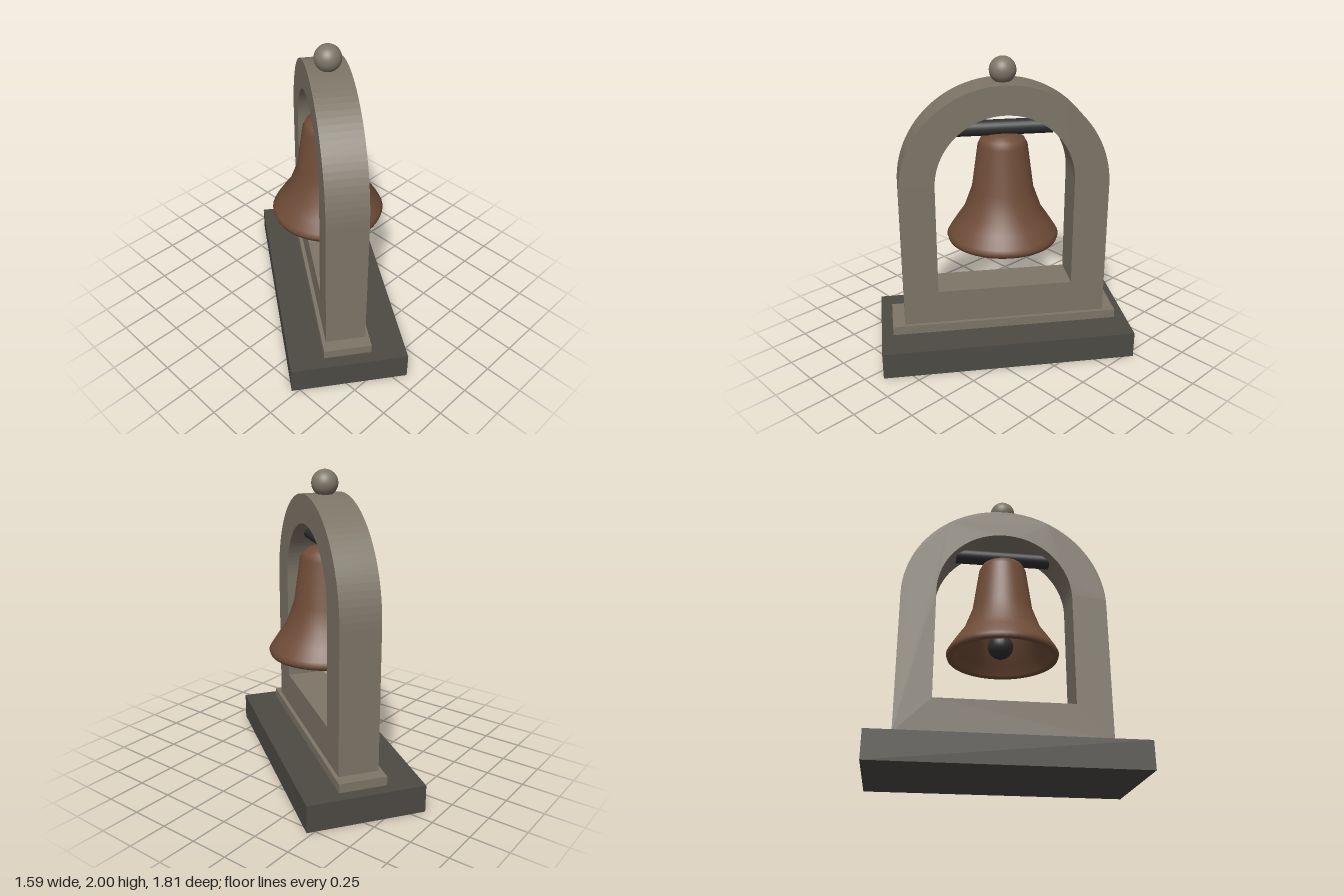
import * as THREE from 'three';

export function createModel() {
  const model = new THREE.Group();
  model.name = 'bellMonument';
  model.rotation.y = THREE.MathUtils.degToRad(55);

  const material = (name, color) => {
    const m = new THREE.MeshStandardMaterial({ color });
    m.name = name;
    return m;
  };
  const stone = material('stone', 0x7d7567);
  const darkStone = material('darkStone', 0x4d4a44);
  const bronze = material('bronze', 0x6f4c38);
  const iron = material('iron', 0x2f2f2f);

  const add = (name, geometry, mat, x = 0, y = 0, z = 0) => {
    const mesh = new THREE.Mesh(geometry, mat);
    mesh.name = name;
    mesh.position.set(x, y, z);
    model.add(mesh);
    return mesh;
  };

  // Stepped base
  add('base', new THREE.BoxGeometry(1.68, 0.18, 0.76), darkStone, 0, 0.09);
  add('plinth', new THREE.BoxGeometry(1.525, 0.06, 0.31), stone, 0, 0.21);

  // Round-topped frame with an arched opening
  const archOutline = (path, radius, bottom, spring) => {
    path.moveTo(-radius, bottom);
    path.lineTo(radius, bottom);
    path.lineTo(radius, spring);
    path.absarc(0, spring, radius, 0, Math.PI, false);
    path.lineTo(-radius, bottom);
    return path;
  };
  const frame = archOutline(new THREE.Shape(), 0.68, 0.24, 1.168);
  frame.holes.push(archOutline(new THREE.Path(), 0.45, 0.47, 1.21));
  const archDepth = 0.26;
  add('arch', new THREE.ExtrudeGeometry(frame, {
    depth: archDepth, bevelEnabled: false, curveSegments: 24,
  }), stone, 0, 0, -archDepth / 2);

  // Ball on top
  add('finial', new THREE.SphereGeometry(0.085, 32, 20), stone, 0, 1.915);

  // Bar carrying the bell
  add('yoke', new THREE.CylinderGeometry(0.05, 0.05, 0.64, 24), iron, 0, 1.55)
    .rotation.z = Math.PI / 2;

  // Hollow bell: down the inside, round the lip, up the outside
  const profile = [
    [0, 1.44], [0.1, 1.42], [0.13, 1.36], [0.165, 1.15], [0.22, 0.98], [0.29, 0.88], [0.32, 0.81],
    [0.33, 0.8], [0.36, 0.8], [0.368, 0.825], [0.355, 0.85], [0.31, 0.92], [0.255, 1.0],
    [0.2, 1.15], [0.16, 1.44], [0.14, 1.48], [0.085, 1.513], [0, 1.52],
  ].map(([r, y]) => new THREE.Vector2(r, y));
  add('bell', new THREE.LatheGeometry(profile, 48), bronze);

  // Clapper hanging slightly to one side
  const pivot = new THREE.Vector3(0, 1.45, 0);
  const tip = new THREE.Vector3(0, 0.93, 0.1);
  const rod = new THREE.LineCurve3(pivot, tip);
  add('clapperRod', new THREE.TubeGeometry(rod, 1, 0.02, 12), iron);
  add('clapperBall', new THREE.SphereGeometry(0.085, 24, 16), iron, tip.x, tip.y, tip.z);

  const root = new THREE.Group();
  root.add(model);
  return root;
}
